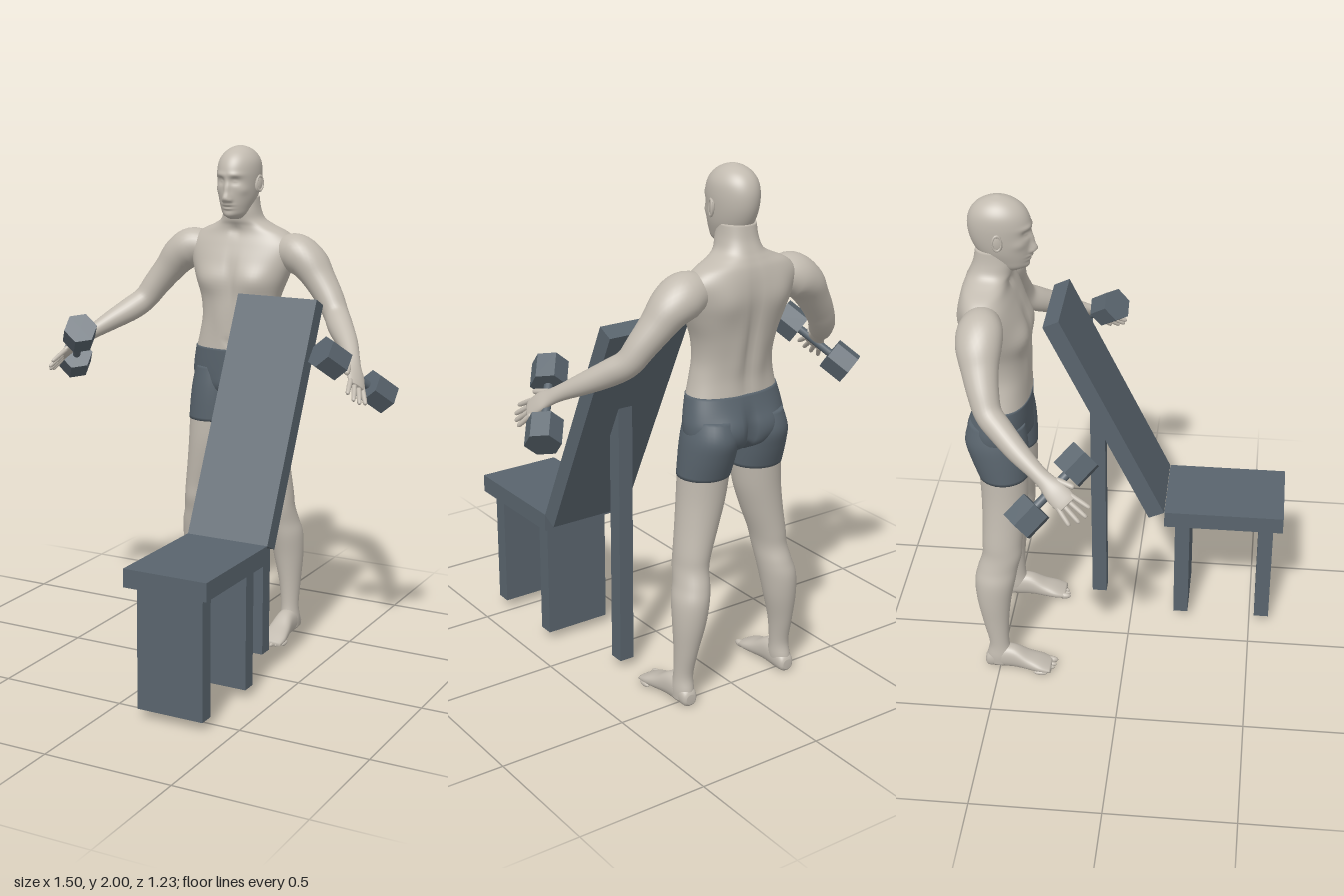
import * as THREE from 'three';

const V = (x, y, z) => new THREE.Vector3(x, y, z);

// Catmull-Rom interpolation of rows of numbers
function smoothRows(rows, steps) {
  const out = [], last = rows.length - 1;
  for (let i = 0; i < last; i++) {
    const [p, a, b, n] = [rows[Math.max(i - 1, 0)], rows[i], rows[i + 1], rows[Math.min(i + 2, last)]];
    for (let s = 0; s < steps; s++) {
      const t = s / steps;
      out.push(a.map((_, k) => 0.5 * (2 * a[k] + (b[k] - p[k]) * t + (2 * p[k] - 5 * a[k] + 4 * b[k] - n[k]) * t * t
        + (3 * a[k] - p[k] - 3 * b[k] + n[k]) * t * t * t)));
    }
  }
  out.push(rows[last]);
  return out;
}

// Closed surface through rings of points, ends drawn together
function skinRings(rings) {
  const n = rings[0].length;
  const closed = r => {
    const c = r.reduce((s, p) => s.add(p), V(0, 0, 0)).divideScalar(n);
    return r.map(() => c);
  };
  const all = [closed(rings[0]), ...rings, closed(rings[rings.length - 1])];
  const idx = [];
  for (let i = 0; i < all.length - 1; i++) for (let j = 0; j < n; j++) {
    const k = (j + 1) % n, a = i * n + j, b = i * n + k, c = a + n, d = b + n;
    if (i < all.length - 2) idx.push(a, c, d);
    if (i > 0) idx.push(a, d, b);
  }
  const g = new THREE.BufferGeometry().setFromPoints(all.flat());
  g.setIndex(idx);
  g.computeVertexNormals();
  return g;
}

// Rows [along, centre x, half width, low, high]; runs up y, or along z when flat
function loft(rows, { seg = 32, steps = 5, power = 2, flat = false } = {}) {
  const e = 2 / power, bend = c => Math.sign(c) * Math.abs(c) ** e;
  return skinRings(smoothRows(rows, steps).map(([t, cx, rx, lo, hi]) =>
    Array.from({ length: seg }, (_, j) => {
      const a = j / seg * Math.PI * 2;
      const x = cx + rx * bend(Math.cos(a)), w = (lo + hi) / 2 + (hi - lo) / 2 * bend(Math.sin(a));
      return flat ? V(x, w, t) : V(x, t, w);
    })));
}

// Rows [x, y, z, thickness, width]; width lies along the grip direction
const grip = V(0.5, -0.58, -0.65).normalize();
function limb(rows, steps = 5, seg = 20) {
  const pts = smoothRows(rows, steps);
  return skinRings(pts.map((p, i) => {
    const a = pts[Math.max(i - 1, 0)], b = pts[Math.min(i + 1, pts.length - 1)];
    const T = V(b[0] - a[0], b[1] - a[1], b[2] - a[2]).normalize();
    const u = grip.clone().cross(T).normalize(), v = u.clone().cross(T);
    return Array.from({ length: seg }, (_, j) => {
      const q = j / seg * Math.PI * 2;
      return V(p[0], p[1], p[2]).addScaledVector(u, p[3] * Math.cos(q)).addScaledVector(v, p[4] * Math.sin(q));
    });
  }));
}

// Symmetric swellings and hollows: [x, y, z, size x, size y, size z, amount]
function sculpt(g, bumps) {
  const P = g.attributes.position, N = g.attributes.normal;
  for (let i = 0; i < P.count; i++) {
    const x = P.getX(i), y = P.getY(i), z = P.getZ(i);
    let m = 0;
    for (const [bx, by, bz, sx, sy, sz, k] of bumps)
      m += k * Math.exp(-(((Math.abs(x) - bx) / sx) ** 2) - ((y - by) / sy) ** 2 - ((z - bz) / sz) ** 2);
    P.setXYZ(i, x + N.getX(i) * m, y + N.getY(i) * m, z + N.getZ(i) * m);
  }
  g.computeVertexNormals();
  return g;
}

function mirrored(g) {
  const m = g.clone().scale(-1, 1, 1), ix = m.index.array;
  for (let i = 0; i < ix.length; i += 3) [ix[i], ix[i + 1]] = [ix[i + 1], ix[i]];
  return m;
}

const faceted = g => { const f = g.toNonIndexed(); f.computeVertexNormals(); return f; };

export function createModel() {
  const skin = new THREE.MeshStandardMaterial({ name: 'skin', color: 0xc2bbb0 });
  const slate = new THREE.MeshStandardMaterial({ name: 'slate', color: 0x59646d });
  const model = new THREE.Group();
  const part = name => { const g = new THREE.Group(); g.name = name; model.add(g); return g; };
  const body = part('athlete'), bench = part('bench'), weights = part('dumbbells');
  const add = (parent, name, geo, mat) => {
    const m = new THREE.Mesh(geo, mat);
    m.name = name;
    parent.add(m);
    return m;
  };
  const pair = (parent, name, geo, mat, finish = g => g) => {
    add(parent, 'left' + name, finish(geo), mat);
    add(parent, 'right' + name, finish(mirrored(geo)), mat);
  };

  // Torso and neck
  add(body, 'torso', sculpt(loft([
    [1.18, 0, 0.184, -0.567, -0.367], [1.25, 0, 0.167, -0.563, -0.368], [1.32, 0, 0.157, -0.572, -0.368],
    [1.40, 0, 0.168, -0.588, -0.368], [1.48, 0, 0.198, -0.602, -0.37], [1.55, 0, 0.222, -0.61, -0.385],
    [1.61, 0, 0.23, -0.608, -0.408], [1.655, 0, 0.19, -0.6, -0.425], [1.685, 0, 0.125, -0.588, -0.425],
    [1.71, 0, 0.086, -0.576, -0.415], [1.75, 0, 0.072, -0.56, -0.41], [1.80, 0, 0.066, -0.55, -0.42],
  ], { seg: 72, power: 2.3 }), [
    [0.1, 1.47, -0.36, 0.075, 0.055, 0.06, 0.02], [0, 1.48, -0.36, 0.016, 0.09, 0.06, -0.01],
    [0, 1.40, -0.59, 0.02, 0.2, 0.05, -0.015], [0.11, 1.55, -0.6, 0.06, 0.07, 0.05, 0.012],
    [0.05, 1.3, -0.57, 0.03, 0.1, 0.05, 0.006], [0.045, 1.33, -0.36, 0.03, 0.09, 0.05, 0.005],
    [0, 1.22, -0.36, 0.012, 0.014, 0.05, -0.008], [0, 1.665, -0.42, 0.02, 0.02, 0.04, -0.01],
  ]), skin);

  // Head with face
  add(body, 'head', sculpt(loft([
    [1.715, 0, 0.028, -0.47, -0.392], [1.733, 0, 0.046, -0.485, -0.366], [1.76, 0, 0.058, -0.52, -0.354],
    [1.80, 0, 0.071, -0.55, -0.349], [1.85, 0, 0.079, -0.57, -0.346], [1.90, 0, 0.082, -0.575, -0.345],
    [1.94, 0, 0.077, -0.565, -0.358], [1.97, 0, 0.06, -0.542, -0.383], [1.99, 0, 0.035, -0.507, -0.418],
    [2.0, 0, 0.006, -0.47, -0.455],
  ], { seg: 96, steps: 9 }), [
    [0, 1.80, -0.345, 0.015, 0.02, 0.05, 0.024], [0, 1.835, -0.345, 0.011, 0.025, 0.05, 0.011],
    [0.014, 1.793, -0.35, 0.007, 0.008, 0.05, 0.006], [0.032, 1.866, -0.355, 0.018, 0.013, 0.04, -0.013],
    [0.032, 1.865, -0.355, 0.012, 0.007, 0.04, 0.007], [0.03, 1.89, -0.35, 0.028, 0.01, 0.05, 0.005],
    [0, 1.774, -0.35, 0.022, 0.005, 0.05, 0.007], [0, 1.759, -0.35, 0.02, 0.005, 0.05, 0.006],
    [0, 1.735, -0.36, 0.024, 0.013, 0.05, 0.009], [0.055, 1.83, -0.38, 0.02, 0.018, 0.03, 0.004],
  ]), skin);

  // Ears
  const ear = new THREE.SphereGeometry(1, 16, 12).scale(0.008, 0.032, 0.019);
  ear.rotateX(-0.2).rotateY(-0.35).translate(0.086, 1.852, -0.455);
  pair(body, 'Ear', ear, skin);
  const earRim = new THREE.TorusGeometry(0.019, 0.004, 8, 20).scale(0.85, 1.5, 1);
  earRim.rotateY(Math.PI / 2 - 0.35).translate(0.091, 1.854, -0.456);
  pair(body, 'EarRim', earRim, skin);

  // Shorts
  add(body, 'shortsSeat', sculpt(loft([
    [0.972, 0, 0.05, -0.54, -0.43], [1.0, 0, 0.14, -0.583, -0.395], [1.035, 0, 0.195, -0.598, -0.376],
    [1.08, 0, 0.206, -0.6, -0.37], [1.13, 0, 0.2, -0.588, -0.367], [1.192, 0, 0.186, -0.569, -0.365],
  ], { seg: 64, power: 2.2 }), [
    [0, 1.05, -0.6, 0.018, 0.08, 0.06, -0.03], [0.09, 1.06, -0.6, 0.06, 0.06, 0.05, 0.014],
    [0, 1.03, -0.37, 0.04, 0.045, 0.04, 0.012],
  ]), slate);
  pair(body, 'ShortsLeg', loft([
    [0.885, 0.118, 0.1, -0.563, -0.37], [0.97, 0.114, 0.101, -0.594, -0.369],
    [1.04, 0.11, 0.098, -0.611, -0.372], [1.11, 0.105, 0.085, -0.592, -0.38],
  ]), slate);

  // Legs
  pair(body, 'Leg', loft([
    [0.02, 0.232, 0.034, -0.552, -0.45], [0.06, 0.23, 0.038, -0.553, -0.45], [0.12, 0.227, 0.036, -0.542, -0.462],
    [0.22, 0.222, 0.044, -0.562, -0.46], [0.33, 0.212, 0.06, -0.583, -0.448], [0.42, 0.203, 0.067, -0.589, -0.43],
    [0.48, 0.191, 0.064, -0.577, -0.418], [0.54, 0.182, 0.063, -0.558, -0.402], [0.6, 0.172, 0.068, -0.556, -0.398],
    [0.7, 0.148, 0.08, -0.555, -0.385], [0.8, 0.128, 0.091, -0.557, -0.375], [0.9, 0.118, 0.097, -0.562, -0.373],
  ]), skin);
  // Feet and toes
  pair(body, 'Foot', loft([
    [-0.29, 0.238, 0.046, 0.004, 0.026], [-0.33, 0.236, 0.053, 0.001, 0.046], [-0.38, 0.234, 0.047, 0.001, 0.067],
    [-0.44, 0.232, 0.039, 0.002, 0.1], [-0.5, 0.23, 0.037, 0, 0.1], [-0.545, 0.23, 0.031, 0.001, 0.07],
    [-0.558, 0.23, 0.02, 0.012, 0.05],
  ], { flat: true, power: 2.3 }), skin);
  for (let i = 0; i < 5; i++) {
    const r = i ? 0.0095 : 0.014;
    const toe = new THREE.SphereGeometry(1, 12, 8).scale(r, r, 0.028);
    pair(body, 'Toe' + (i + 1), toe.translate(0.203 + i * 0.019 + (i ? 0.004 : 0), r, -0.295 - i * i * 0.0022), skin);
  }

  // Arms and palms
  pair(body, 'Arm', limb([
    [0.16, 1.585, -0.505, 0.06, 0.06], [0.23, 1.58, -0.505, 0.078, 0.085], [0.29, 1.545, -0.502, 0.074, 0.083],
    [0.34, 1.485, -0.492, 0.062, 0.068], [0.39, 1.42, -0.475, 0.055, 0.057], [0.43, 1.36, -0.452, 0.05, 0.05],
    [0.47, 1.32, -0.405, 0.05, 0.047], [0.53, 1.273, -0.335, 0.04, 0.04], [0.58, 1.23, -0.265, 0.028, 0.031],
    [0.605, 1.205, -0.225, 0.022, 0.033], [0.625, 1.183, -0.193, 0.019, 0.042], [0.642, 1.158, -0.163, 0.015, 0.042],
    [0.65, 1.146, -0.148, 0.011, 0.037],
  ], 5, 28), skin);
  // Fingers and thumbs
  const finger = (name, from, to, r) => {
    const at = (t, k) => [...from.clone().lerp(to, t).toArray(), r * k, r * k];
    pair(body, name, limb([at(0, 1), at(0.5, 1), at(0.9, 0.85), at(1, 0.4)], 3, 10), skin);
  };
  for (let i = 0; i < 4; i++) {
    const s = (i - 1.5) * 0.021, reach = [0.9, 1.05, 1, 0.8][i];
    const base = V(0.643, 1.156, -0.161).addScaledVector(grip, s);
    finger('Finger' + (i + 1), base, base.clone().add(V(0.03, -0.053, 0.068).multiplyScalar(reach)).addScaledVector(grip, s * 0.5), 0.0095);
  }
  const thumb = V(0.612, 1.195, -0.212).addScaledVector(grip, -0.03);
  finger('Thumb', thumb, thumb.clone().add(V(0.03, -0.025, 0.052)).addScaledVector(grip, -0.02), 0.0115);

  // Dumbbells: handle and two hexagonal heads
  const turn = new THREE.Quaternion().setFromUnitVectors(V(0, 1, 0), grip);
  const rod = (r, len, sides, along) => {
    const c = V(0.612, 1.178, -0.208).addScaledVector(grip, along);
    return new THREE.CylinderGeometry(r, r, len, sides).applyQuaternion(turn).translate(c.x, c.y, c.z);
  };
  pair(weights, 'Handle', rod(0.016, 0.2, 16, 0), slate);
  for (const s of [-1, 1]) pair(weights, s < 0 ? 'UpperHead' : 'LowerHead', rod(0.067, 0.1, 6, s * 0.125), slate, faceted);

  // Bench
  const box = (name, w, h, d, y, z) => {
    const m = add(bench, name, new THREE.BoxGeometry(w, h, d), slate);
    m.position.set(0.259, y, z);
    return m;
  };
  box('seat', 0.335, 0.07, 0.48, 0.54, 0.378);
  box('frontLeg', 0.267, 0.47, 0.06, 0.27, 0.55);
  box('middleLeg', 0.267, 0.47, 0.06, 0.27, 0.21);
  box('rearPost', 0.06, 1.045, 0.06, 0.5575, -0.145);
  box('backrest', 0.335, 0.958, 0.068, 0.993, -0.098).rotation.x = -0.44;

  return model;
}
